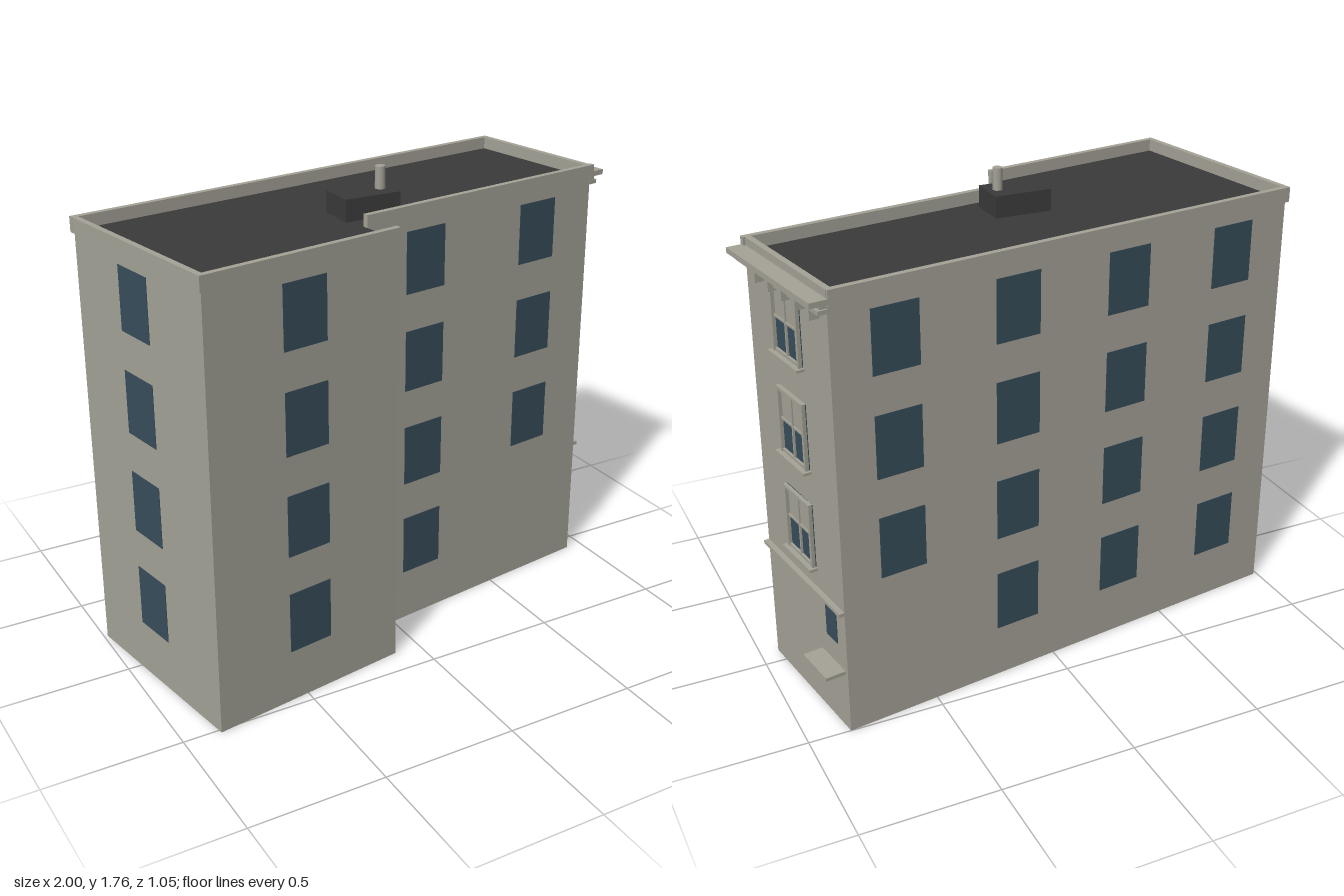
import * as THREE from 'three';

const mat = (name, color) => {
  const m = new THREE.MeshStandardMaterial({ color });
  m.name = name;
  return m;
};

export function createModel() {
  const stone = mat('stone', 0xa6a498);
  const glass = mat('window glass', 0x384e5b);
  const tar = mat('roof tar', 0x3b3b3b);
  const building = new THREE.Group();
  building.name = 'building';

  // Footprint corners as [x, z], starting at the front right and going round
  const corners = [[-0.865, 0.515], [-0.103, 0.394], [-0.13, 0.222], [0.932, 0.07], [0.845, -0.5], [-0.987, -0.248]];
  const roofY = 1.6, topY = 1.645;

  // Box given by its extents
  const box = (parent, name, material, x0, x1, y0, y1, z0, z1) => {
    const mesh = new THREE.Mesh(new THREE.BoxGeometry(x1 - x0, y1 - y0, z1 - z0), material);
    mesh.position.set((x0 + x1) / 2, (y0 + y1) / 2, (z0 + z1) / 2);
    mesh.name = name;
    parent.add(mesh);
    return mesh;
  };

  // Main block: dark caps, stone sides
  const plan = new THREE.Shape(corners.map(([x, z]) => new THREE.Vector2(x, -z)));
  const block = new THREE.ExtrudeGeometry(plan, { depth: roofY, bevelEnabled: false });
  block.rotateX(-Math.PI / 2);
  const walls = new THREE.Mesh(block, [tar, stone]);
  walls.name = 'wallsAndRoof';
  building.add(walls);

  // One group per wall: x runs along the wall, z points outwards
  const sides = ['frontWing', 'notch', 'frontMain', 'street', 'back', 'rightEnd'].map((name, i) => {
    const [x, z] = corners[i], [x2, z2] = corners[(i + 1) % corners.length];
    const g = new THREE.Group();
    g.name = name + 'Side';
    g.position.set(x, 0, z);
    g.rotation.y = Math.atan2(z - z2, x2 - x);
    building.add(g);
    return { g, len: Math.hypot(x2 - x, z2 - z) };
  });
  const [wing, , main, street, back, end] = sides;

  // Parapet bands, absent along the notch
  const band = (side, before, after) =>
    box(side.g, 'parapet', stone, -before, side.len + after, 1.59, topY, -0.012, 0.01);
  band(wing, 0.01, 0);
  band(main, 0, 0.01);
  band(back, 0, 0.01);
  band(end, 0.01, 0.01);
  box(street.g, 'streetParapet', stone, 0, street.len, 1.59, topY, -0.02, 0.002);

  // Plain windows, given by the start of each column along the wall
  const rows = [0.2, 0.575, 0.95, 1.32];
  const column = (side, s, firstRow = 0) => {
    for (const y of rows.slice(firstRow)) box(side.g, 'window', glass, s, s + 0.174, y, y + 0.23, -0.002, 0.002);
  };
  column(wing, 0.298);
  column(main, 0.18);
  column(main, 0.718, 1);
  column(end, 0.28);
  column(back, 0.145, 1);
  [0.606, 1.062, 1.522].forEach((s) => column(back, s));

  // Street side: sash windows with blinds drawn over the upper half
  const s0 = 0.195, s1 = 0.385, mid = (s0 + s1) / 2;
  for (const y of [0.567, 0.94, 1.312]) {
    const sash = new THREE.Group();
    sash.name = 'sashWindow';
    street.g.add(sash);
    const h = 0.245, rail = y + 0.127;
    box(sash, 'pane', glass, s0, s1, y, y + h, -0.002, 0.003);
    box(sash, 'blind', stone, s0 + 0.017, s1 - 0.017, rail - 0.008, y + h, 0.003, 0.005);
    for (const s of [s0, s1 - 0.013]) box(sash, 'jamb', stone, s, s + 0.013, y, y + h, 0, 0.016);
    box(sash, 'lintel', stone, s0, s1, y + h - 0.012, y + h, 0, 0.016);
    box(sash, 'meetingRail', stone, s0, s1, rail - 0.004, rail + 0.004, 0, 0.01);
    box(sash, 'mullion', stone, mid - 0.004, mid + 0.004, y, y + h, 0, 0.01);
    box(sash, 'bottomRail', stone, s0, s1, y, y + 0.012, 0, 0.012);
    box(sash, 'sill', stone, s0 - 0.01, s1 + 0.01, y - 0.008, y + 0.002, 0, 0.03);
  }

  // Street side: ledge, small window and door canopy
  box(street.g, 'ledge', stone, 0, street.len, 0.475, 0.488, 0, 0.02);
  box(street.g, 'smallWindow', glass, 0.438, 0.515, 0.33, 0.475, -0.002, 0.003);
  box(street.g, 'doorCanopy', stone, 0.39, 0.56, 0.228, 0.241, 0, 0.075);

  // Street side: stepped cornice on brackets
  box(street.g, 'corniceTop', stone, -0.005, street.len + 0.012, 1.598, 1.617, 0, 0.065);
  box(street.g, 'corniceMiddle', stone, 0, street.len, 1.583, 1.598, 0, 0.025);
  box(street.g, 'corniceLower', stone, -0.002, street.len + 0.008, 1.568, 1.583, 0, 0.035);
  for (let i = 0; i < 5; i++) {
    const s = 0.13 + i * 0.096;
    box(street.g, 'bracket', stone, s - 0.01, s + 0.01, 1.532, 1.568, 0, 0.035);
  }

  // Roof hut and flue
  box(building, 'roofHut', tar, -0.16, 0.055, 1.58, 1.68, -0.004, 0.14);
  const flue = new THREE.Mesh(new THREE.CylinderGeometry(0.019, 0.019, 0.085, 8), stone);
  flue.position.set(0.014, 1.7175, 0.07);
  flue.name = 'flue';
  building.add(flue);

  return building;
}
